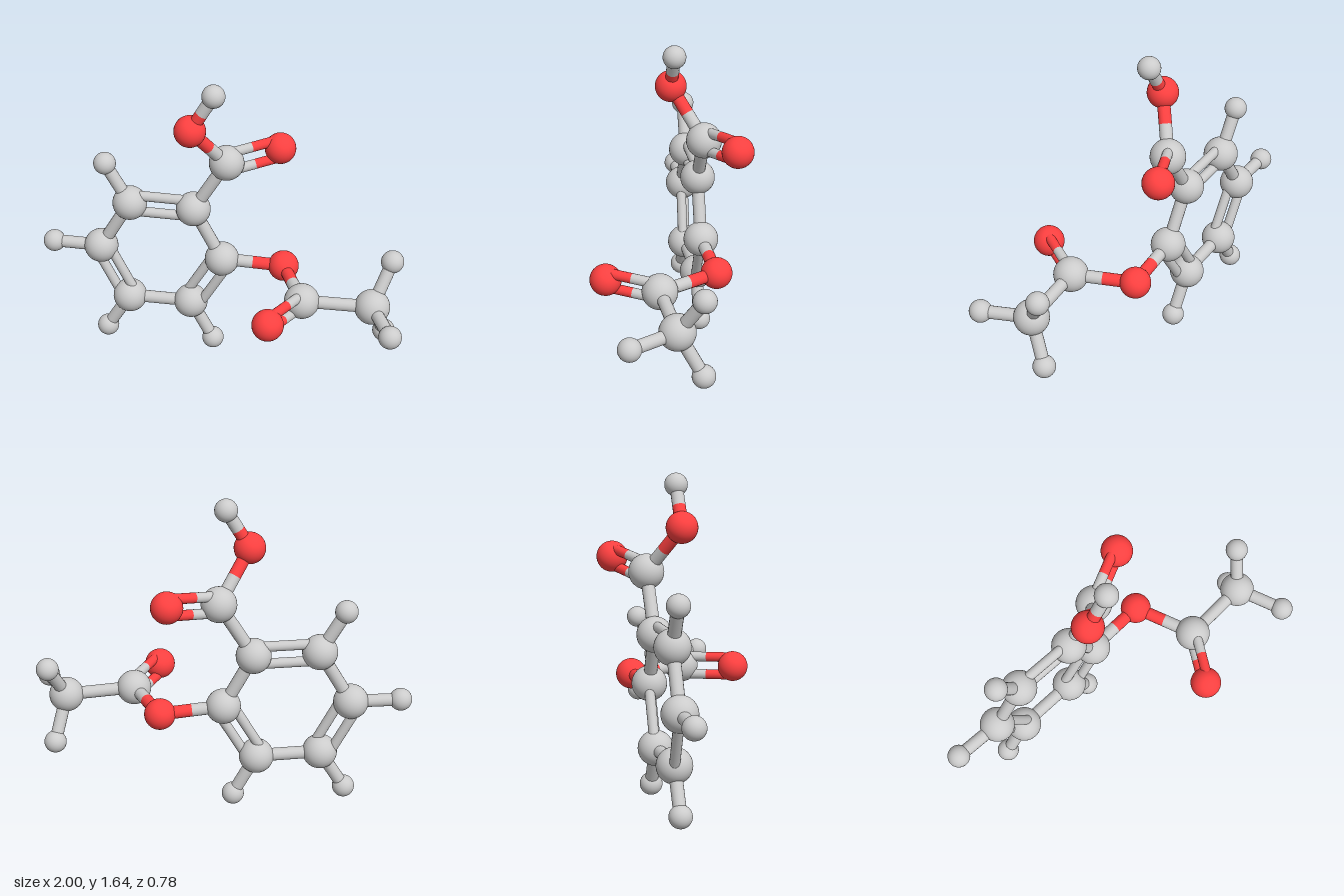
import * as THREE from 'three';

// Atom kinds: radius and material
const grey = new THREE.MeshStandardMaterial({ color: 0xcccccc });
const red = new THREE.MeshStandardMaterial({ color: 0xff4040 });
const KINDS = {
  carbon: { radius: 0.09, material: grey },
  oxygen: { radius: 0.08, material: red },
  hydrogen: { radius: 0.058, material: grey },
};

// name: [kind, x, y, z]
const ATOMS = {
  ring1: ['carbon', -0.225, 0.86, -0.06],
  ring2: ['carbon', -0.54, 0.87, 0.05],
  ring3: ['carbon', -0.70, 0.59, 0.095],
  ring4: ['carbon', -0.555, 0.295, 0.06],
  ring5: ['carbon', -0.245, 0.285, -0.055],
  ring6: ['carbon', -0.08, 0.575, -0.1],
  ringHydrogen2: ['hydrogen', -0.66, 1.09, 0.085],
  ringHydrogen3: ['hydrogen', -0.943, 0.595, 0.175],
  ringHydrogen4: ['hydrogen', -0.68, 0.083, 0.098],
  ringHydrogen5: ['hydrogen', -0.13, 0.06, -0.088],
  acidCarbon: ['carbon', -0.06, 1.145, -0.115],
  acidOxygen: ['oxygen', 0.147, 1.187, -0.31],
  hydroxylOxygen: ['oxygen', -0.167, 1.383, 0.07],
  hydroxylHydrogen: ['hydrogen', -0.055, 1.58, 0.033],
  esterOxygen: ['oxygen', 0.22, 0.55, -0.222],
  esterCarbon: ['carbon', 0.44, 0.547, 0.028],
  carbonylOxygen: ['oxygen', 0.385, 0.558, 0.31],
  methylCarbon: ['carbon', 0.767, 0.53, -0.11],
  methylHydrogen1: ['hydrogen', 0.81, 0.735, -0.245],
  methylHydrogen2: ['hydrogen', 0.79, 0.313, -0.24],
  methylHydrogen3: ['hydrogen', 0.94, 0.523, 0.085],
};

const SINGLE = [
  ['ring2', 'ring3'], ['ring4', 'ring5'], ['ring6', 'ring1'],
  ['ring2', 'ringHydrogen2'], ['ring3', 'ringHydrogen3'],
  ['ring4', 'ringHydrogen4'], ['ring5', 'ringHydrogen5'],
  ['ring1', 'acidCarbon'], ['acidCarbon', 'hydroxylOxygen'],
  ['hydroxylOxygen', 'hydroxylHydrogen'],
  ['ring6', 'esterOxygen'], ['esterOxygen', 'esterCarbon'],
  ['esterCarbon', 'methylCarbon'],
  ['methylCarbon', 'methylHydrogen1'], ['methylCarbon', 'methylHydrogen2'],
  ['methylCarbon', 'methylHydrogen3'],
];
const DOUBLE = [
  ['ring1', 'ring2'], ['ring3', 'ring4'], ['ring5', 'ring6'],
  ['acidCarbon', 'acidOxygen'], ['esterCarbon', 'carbonylOxygen'],
];

const UP = new THREE.Vector3(0, 1, 0);
const FRONT = new THREE.Vector3(0, 0, 1);
const position = (name) => new THREE.Vector3(...ATOMS[name].slice(1));

// One open rod between two points
function rod(from, to, radius, material, name) {
  const dir = to.clone().sub(from);
  const mesh = new THREE.Mesh(
    new THREE.CylinderGeometry(radius, radius, dir.length(), 16, 1, true), material);
  mesh.position.copy(from).add(to).multiplyScalar(0.5);
  mesh.quaternion.setFromUnitVectors(UP, dir.normalize());
  mesh.name = name;
  return mesh;
}

// A bond of one or two rods, each half taking the colour of its atom
function bond(a, b, isDouble) {
  const group = new THREE.Group();
  group.name = isDouble ? 'doubleBond' : 'singleBond';
  const start = position(a), end = position(b);
  const side = end.clone().sub(start).cross(FRONT).normalize();
  const radius = isDouble ? 0.026 : 0.033;
  for (const offset of isDouble ? [-0.047, 0.047] : [0]) {
    const p = start.clone().addScaledVector(side, offset);
    const q = end.clone().addScaledVector(side, offset);
    const middle = p.clone().lerp(q, 0.5);
    group.add(rod(p, middle, radius, KINDS[ATOMS[a][0]].material, 'bondHalf'));
    group.add(rod(middle, q, radius, KINDS[ATOMS[b][0]].material, 'bondHalf'));
  }
  return group;
}

export function createModel() {
  const model = new THREE.Group();
  model.name = 'molecule';

  // Atoms
  for (const [name, [kind]] of Object.entries(ATOMS)) {
    const { radius, material } = KINDS[kind];
    const ball = new THREE.Mesh(new THREE.SphereGeometry(radius, 32, 20), material);
    ball.position.copy(position(name));
    ball.name = name;
    model.add(ball);
  }

  // Bonds
  for (const [a, b] of SINGLE) model.add(bond(a, b, false));
  for (const [a, b] of DOUBLE) model.add(bond(a, b, true));
  return model;
}
